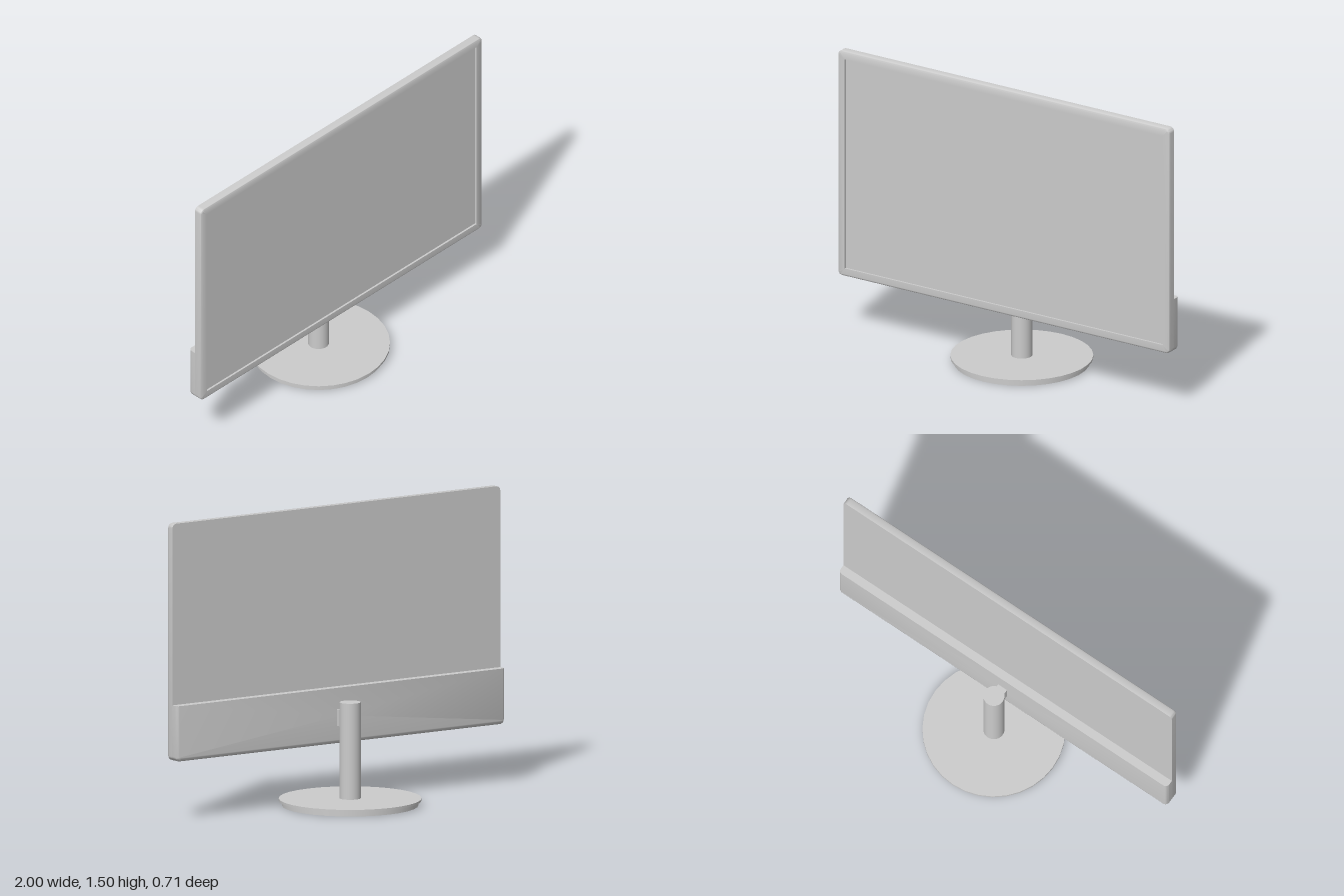
import * as THREE from 'three';
import { toCreasedNormals } from 'three/addons/utils/BufferGeometryUtils.js';

const material = new THREE.MeshStandardMaterial({ color: 0xcccccc });
const HALF_WIDTH = 1, BOTTOM = 0.303, TOP = 1.503, HOUSING_TOP = 0.586;
const CORNER = 0.024, ARC = 6;

// Counter-clockwise rounded rectangle at depth z, shrunk by inset.
// A flat top keeps its height and has square corners.
function ring(top, flatTop, inset, z) {
  const x = HALF_WIDTH - inset, y0 = BOTTOM + inset, y1 = flatTop ? top : top - inset;
  const round = Math.max(CORNER - inset, 0), topRound = flatTop ? 0 : round;
  const corners = [[1, 1, topRound], [-1, 1, topRound], [-1, -1, round], [1, -1, round]];
  const points = [];
  corners.forEach(([sx, sy, r], k) => {
    for (let i = 0; i <= ARC; i++) {
      const a = (k + i / ARC) * Math.PI / 2;
      points.push([sx * (x - r) + r * Math.cos(a), (sy > 0 ? y1 - r : y0 + r) + r * Math.sin(a), z]);
    }
  });
  return points;
}

// Skin a stack of rings, from back to front, and close both ends.
function skin(top, flatTop, profile) {
  const rings = profile.map(([inset, z]) => ring(top, flatTop, inset, z));
  const n = rings[0].length, last = rings.length - 1;
  const middle = (BOTTOM + top) / 2;
  const positions = [];
  const tri = (...corners) => corners.forEach((p) => positions.push(...p));
  for (let j = 0; j < n; j++) {
    const k = (j + 1) % n;
    for (let i = 0; i < last; i++) {
      const a = rings[i], b = rings[i + 1];
      tri(a[j], a[k], b[k]);
      tri(a[j], b[k], b[j]);
    }
    tri([0, middle, profile[0][1]], rings[0][k], rings[0][j]);
    tri([0, middle, profile[last][1]], rings[last][j], rings[last][k]);
  }
  const geometry = new THREE.BufferGeometry();
  geometry.setAttribute('position', new THREE.Float32BufferAttribute(positions, 3));
  return toCreasedNormals(geometry, 0.7);
}

// Quarter-round profile steps between a face and the side wall.
function quarterRound(r, zWall, zFace, steps = 5) {
  return Array.from({ length: steps + 1 }, (_, i) => {
    const a = (i / steps) * Math.PI / 2;
    return [r * (1 - Math.cos(a)), zWall + (zFace - zWall) * Math.sin(a)];
  });
}

export function createModel() {
  const group = new THREE.Group();
  const add = (name, geometry, x = 0, y = 0, z = 0) => {
    const mesh = new THREE.Mesh(geometry, material);
    mesh.name = name;
    mesh.position.set(x, y, z);
    group.add(mesh);
  };

  // Thin panel: rounded front rim, then a step down to the recessed screen
  add('screenPanel', skin(TOP, false, [
    [0, 0.12],
    ...quarterRound(0.01, 0.153, 0.163),
    [0.042, 0.163],
    [0.042, 0.153],
  ]));

  // Thicker lower back with rounded rear edges and a flat ledge on top
  add('rearHousing', skin(HOUSING_TOP, true, [
    ...quarterRound(0.02, 0.096, 0.076).reverse(),
    [0, 0.125],
  ]));

  // Stand: arm, post and two-step round foot
  add('mountArm', new THREE.BoxGeometry(0.054, 0.084, 0.06), 0, 0.436, 0.06);
  add('standPost', new THREE.CylinderGeometry(0.053, 0.053, 0.488, 32), 0, 0.278, 0);
  add('basePlate', new THREE.CylinderGeometry(0.357, 0.357, 0.012, 32), 0, 0.03, 0);
  add('baseFoot', new THREE.CylinderGeometry(0.341, 0.341, 0.025, 32), 0, 0.0125, 0);

  return group;
}
